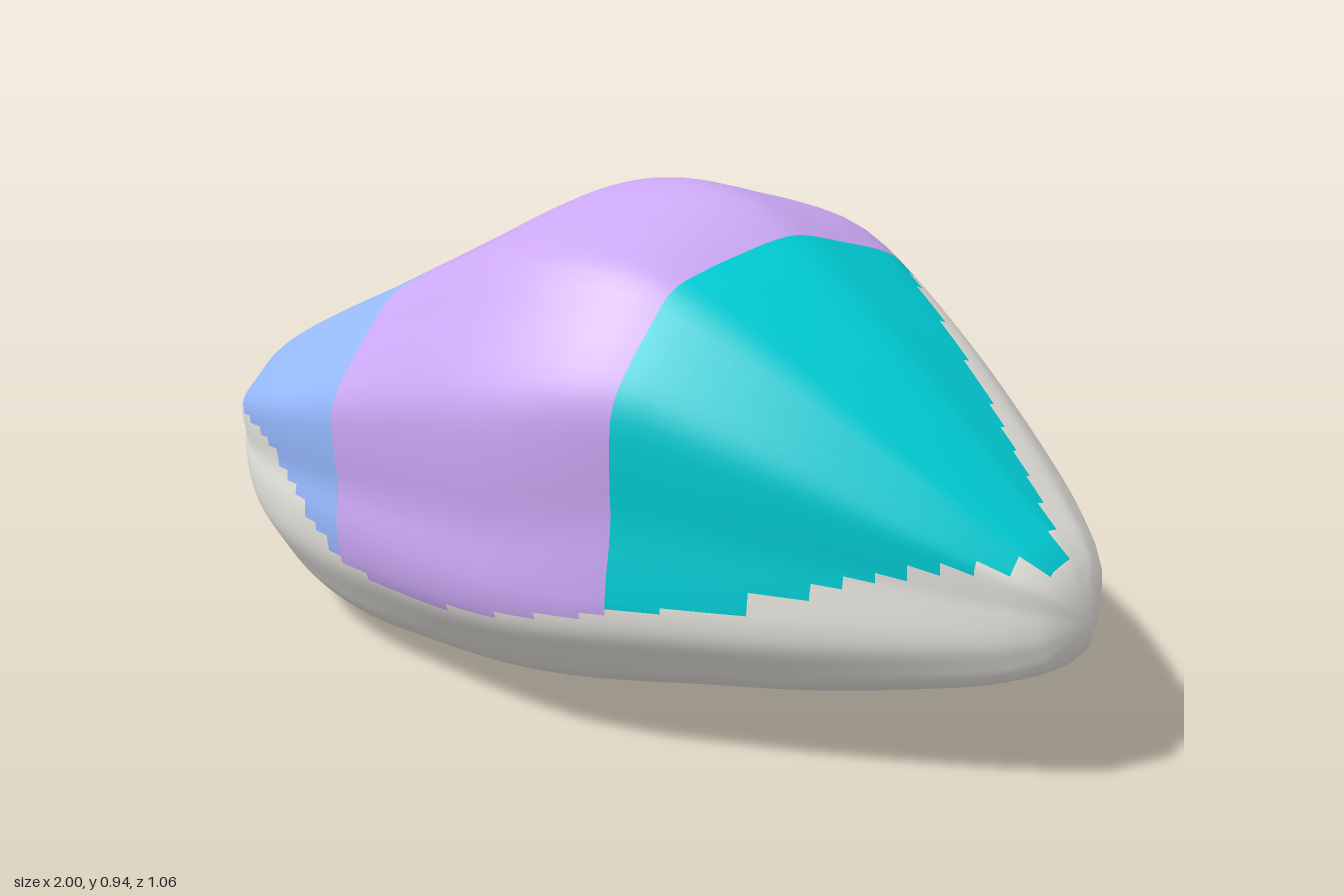
import * as THREE from 'three';

const AXIS_Y = 0.31; // height of the two tips
const RINGS = 50, SIDES = 128;

// Outline along the length: x, top y, bottom y, front z, back z
const OUTLINE = [
  [-1, 0.31, 0.31, 0, 0],
  [-0.95, 0.42, 0.2, 0.17, -0.17],
  [-0.8, 0.53, 0.1, 0.31, -0.32],
  [-0.6, 0.64, 0.03, 0.42, -0.42],
  [-0.4, 0.73, 0.0, 0.475, -0.47],
  [-0.2, 0.825, 0.01, 0.505, -0.5],
  [0, 0.915, 0.027, 0.525, -0.52],
  [0.15, 0.943, 0.047, 0.522, -0.53],
  [0.3, 0.925, 0.073, 0.485, -0.505],
  [0.4, 0.88, 0.09, 0.44, -0.465],
  [0.6, 0.735, 0.118, 0.335, -0.372],
  [0.8, 0.56, 0.16, 0.21, -0.25],
  [0.9, 0.465, 0.19, 0.135, -0.17],
  [0.97, 0.395, 0.235, 0.07, -0.085],
  [1, 0.31, 0.31, 0, 0],
];

// Lobed unit cross-section (z, y), from the top round the front
const SECTION = [
  [0.07, 1], [0.22, 0.985], [0.38, 0.95], [0.58, 0.9], [0.74, 0.84], [0.85, 0.71], [0.92, 0.62], [1, 0.48], [1, 0.3],
  [0.98, 0.14], [0.99, 0], [0.96, -0.29], [0.86, -0.54], [0.75, -0.75], [0.6, -0.88], [0.4, -0.92], [0.2, -0.965],
  [0, -1], [-0.2, -0.975], [-0.4, -0.93], [-0.65, -0.89], [-0.78, -0.77], [-0.87, -0.53], [-0.96, -0.32], [-1, -0.1],
  [-0.985, 0.14], [-0.965, 0.38], [-0.94, 0.48], [-0.83, 0.6], [-0.68, 0.74], [-0.57, 0.83], [-0.47, 0.88], [-0.19, 0.95],
];

// Edges of the painted patch: back edge (x, z) and lower edge (x, y)
const PATCH_BACK = [
  [-1, 0.16], [-0.8, 0.09], [-0.6, -0.06], [-0.4, -0.17], [-0.2, -0.25], [0, -0.29],
  [0.2, -0.31], [0.4, -0.28], [0.5, -0.22], [0.6, -0.16], [0.8, -0.07], [1, 0.05],
];
const PATCH_LOW = [
  [-1, 0.42], [-0.6, 0.415], [-0.52, 0.385], [-0.4, 0.305], [-0.28, 0.235], [-0.1, 0.215],
  [0.1, 0.24], [0.4, 0.295], [0.6, 0.33], [0.7, 0.365], [0.8, 0.4], [1, 0.41],
];

// Smooth lookup of column k in a table sorted by x
function sample(table, x, k) {
  let i = 0;
  while (i < table.length - 2 && x > table[i + 1][0]) i++;
  const slope = (n) => {
    const a = table[Math.max(n - 1, 0)], b = table[Math.min(n + 1, table.length - 1)];
    return (b[k] - a[k]) / (b[0] - a[0]);
  };
  const p = table[i], q = table[i + 1], w = q[0] - p[0];
  const t = THREE.MathUtils.clamp((x - p[0]) / w, 0, 1), t2 = t * t, t3 = t2 * t;
  return (2 * t3 - 3 * t2 + 1) * p[k] + (t3 - 2 * t2 + t) * w * slope(i)
    + (3 * t2 - 2 * t3) * q[k] + (t3 - t2) * w * slope(i + 1);
}

// The upper shoulders grow fuller towards the left end
function surfacePoint(x, u, v) {
  const fullness = 1 - 0.25 * THREE.MathUtils.smoothstep(x, 0.1, 0.45);
  const height = v > 0 ? v ** fullness : -v;
  const y = AXIS_Y + height * (sample(OUTLINE, x, v > 0 ? 1 : 2) - AXIS_Y);
  const z = Math.abs(u) * sample(OUTLINE, x, u > 0 ? 3 : 4);
  return new THREE.Vector3(x, y, z);
}

export function createModel() {
  const group = new THREE.Group();
  group.name = 'pebble';
  const section = new THREE.CatmullRomCurve3(
    SECTION.map(([u, v]) => new THREE.Vector3(0, v, u)), true).getSpacedPoints(SIDES);

  // Rings of vertices between the two tips, leaning slightly with height and depth
  const points = [new THREE.Vector3(-1, AXIS_Y, 0)];
  for (let i = 1; i < RINGS; i++) {
    const x0 = -1 + (2 * i) / RINGS;
    for (let j = 0; j < SIDES; j++) {
      const { y: v, z: u } = section[j];
      const p = surfacePoint(x0, u, v);
      const lean = (1 - x0 ** 4) * (0.05 * (p.y - AXIS_Y) - 0.07 * p.z) - 0.012 * (1 - x0 * x0);
      points.push(surfacePoint(x0 + lean, u, v));
    }
  }
  points.push(new THREE.Vector3(1, AXIS_Y, 0));
  const index = (i, j) => i === 0 ? 0 : i === RINGS ? points.length - 1 : 1 + (i - 1) * SIDES + (j % SIDES);

  // Sort the faces into the plain body and three coloured bands
  const parts = { body: [], rightBand: [], middleBand: [], leftBand: [] };
  for (let i = 0; i < RINGS; i++) {
    for (let j = 0; j < SIDES; j++) {
      const a = index(i, j), b = index(i + 1, j), c = index(i + 1, j + 1), d = index(i, j + 1);
      const mid = points[a].clone().add(points[b]).add(points[c]).add(points[d]).multiplyScalar(0.25);
      const painted = mid.x > -0.93 && mid.x < 0.965
        && mid.z > sample(PATCH_BACK, mid.x, 1) && mid.y > sample(PATCH_LOW, mid.x, 1);
      const name = !painted ? 'body' : i < 19 ? 'rightBand' : i < 35 ? 'middleBand' : 'leftBand';
      if (i > 0) parts[name].push(a, d, b);
      if (i < RINGS - 1) parts[name].push(b, d, c);
    }
  }

  // Shared smooth normals keep the colour borders seamless
  const whole = new THREE.BufferGeometry().setFromPoints(points);
  whole.setIndex(Object.values(parts).flat());
  whole.computeVertexNormals();

  const colors = { body: 0xebe9e3, rightBand: 0x97baff, middleBand: 0xcca9f6, leftBand: 0x00d0d8 };
  for (const name in parts) {
    const geometry = whole.clone().setIndex(parts[name]);
    const mesh = new THREE.Mesh(geometry, new THREE.MeshStandardMaterial({ color: colors[name] }));
    mesh.name = name;
    group.add(mesh);
  }
  return group;
}
